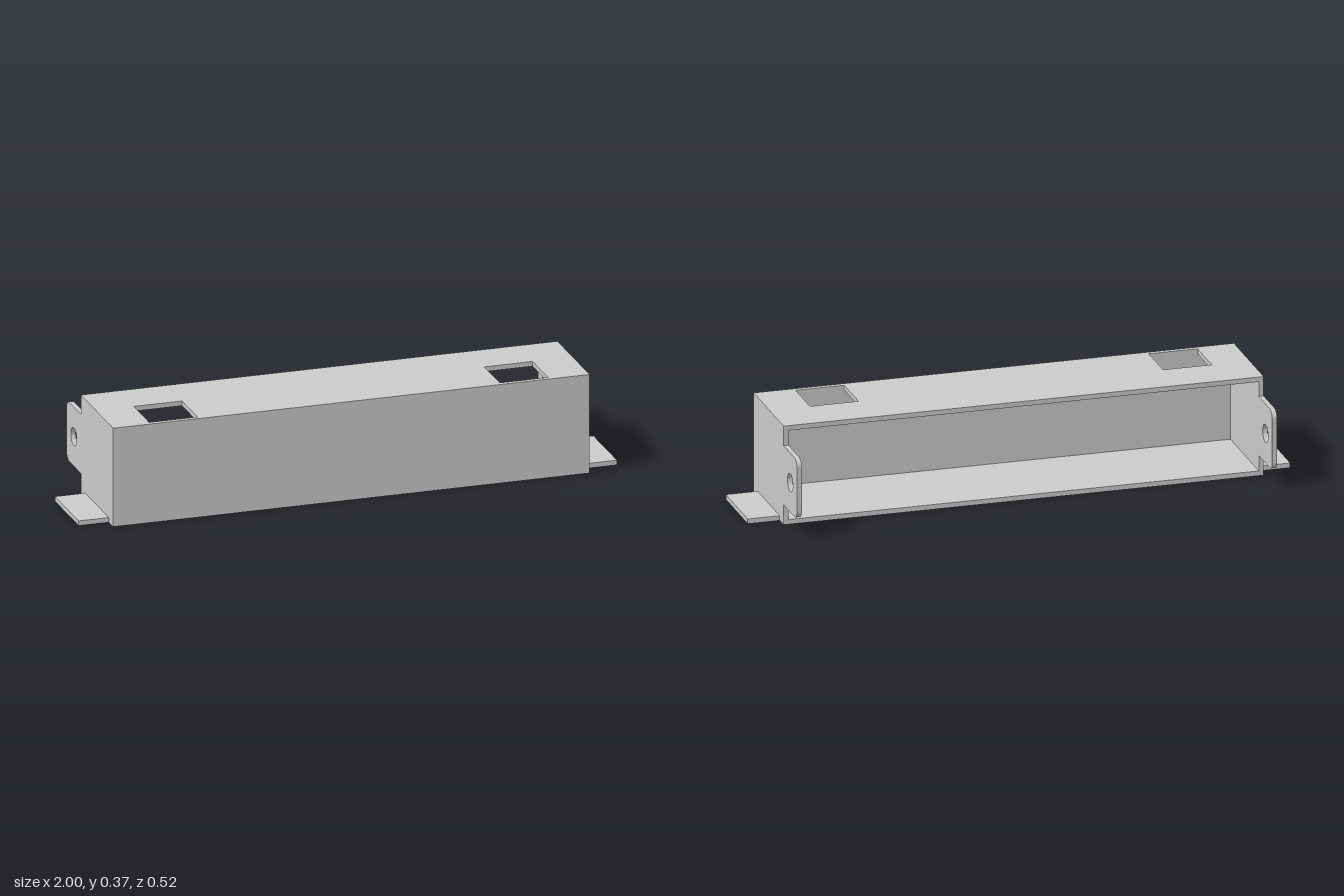
import * as THREE from 'three';

const T = 0.018;                       // sheet thickness
const X0 = -0.888, X1 = 0.882;         // body ends
const H = 0.37, BACK = -0.1, FRONT = 0.262;

export function createModel() {
  const group = new THREE.Group();
  const material = new THREE.MeshStandardMaterial({ color: 0xcccccc });

  const add = (name, geometry) => {
    const mesh = new THREE.Mesh(geometry, material);
    mesh.name = name;
    group.add(mesh);
    return mesh;
  };
  const rect = (Type, x0, y0, x1, y1) => new Type(
    [[x0, y0], [x1, y0], [x1, y1], [x0, y1]].map(([x, y]) => new THREE.Vector2(x, y)));
  const plate = (shape) => new THREE.ExtrudeGeometry(shape,
    { depth: T, bevelEnabled: false, curveSegments: 24 });

  // Horizontal sheets are drawn in x, z and hang below their upper face
  const sheet = (name, shape, top) => add(name, plate(shape).rotateX(Math.PI / 2).translate(0, top, 0));

  // Top sheet with two rectangular openings
  const top = rect(THREE.Shape, X0 + T, BACK, X1 - T, FRONT - T);
  for (const x of [-0.748, 0.554]) top.holes.push(rect(THREE.Path, x, 0.071, x + 0.179, 0.244));
  sheet('topPanel', top, H);

  // Floor sheet with a mounting tab running out at each end
  const tab0 = -0.053, tab1 = 0.213;
  const floor = new THREE.Shape([
    [X0, BACK], [X1, BACK], [X1, tab0], [1, tab0], [1, tab1], [X1, tab1],
    [X1, FRONT], [X0, FRONT], [X0, tab1], [-1, tab1], [-1, tab0], [X0, tab0],
  ].map(([x, z]) => new THREE.Vector2(x, z)));
  sheet('floorWithTabs', floor, T);

  // Front wall; the back stays open
  add('frontPanel', new THREE.BoxGeometry(X1 - X0 - 2 * T, H - T, T)
    .translate((X0 + X1) / 2, (H + T) / 2, FRONT - T / 2));

  // End walls with a rounded, drilled ear reaching backwards (drawn in -z, y)
  const earEnd = 0.262, earLow = 0.075, earHigh = 0.297, r = 0.03;
  const end = new THREE.Shape();
  end.moveTo(-FRONT, T);
  end.lineTo(-BACK, T);
  end.lineTo(-BACK, earLow);
  end.lineTo(earEnd - r, earLow);
  end.absarc(earEnd - r, earLow + r, r, -Math.PI / 2, 0, false);
  end.absarc(earEnd - r, earHigh - r, r, 0, Math.PI / 2, false);
  end.lineTo(-BACK, earHigh);
  end.lineTo(-BACK, H);
  end.lineTo(-FRONT, H);
  end.closePath();
  end.holes.push(new THREE.Path().absarc(0.18, 0.186, 0.033, 0, Math.PI * 2, true));
  for (const [name, x] of [['rightEndWall', X0], ['leftEndWall', X1 - T]]) {
    add(name, plate(end).rotateY(Math.PI / 2).translate(x, 0, 0));
  }

  return group;
}
